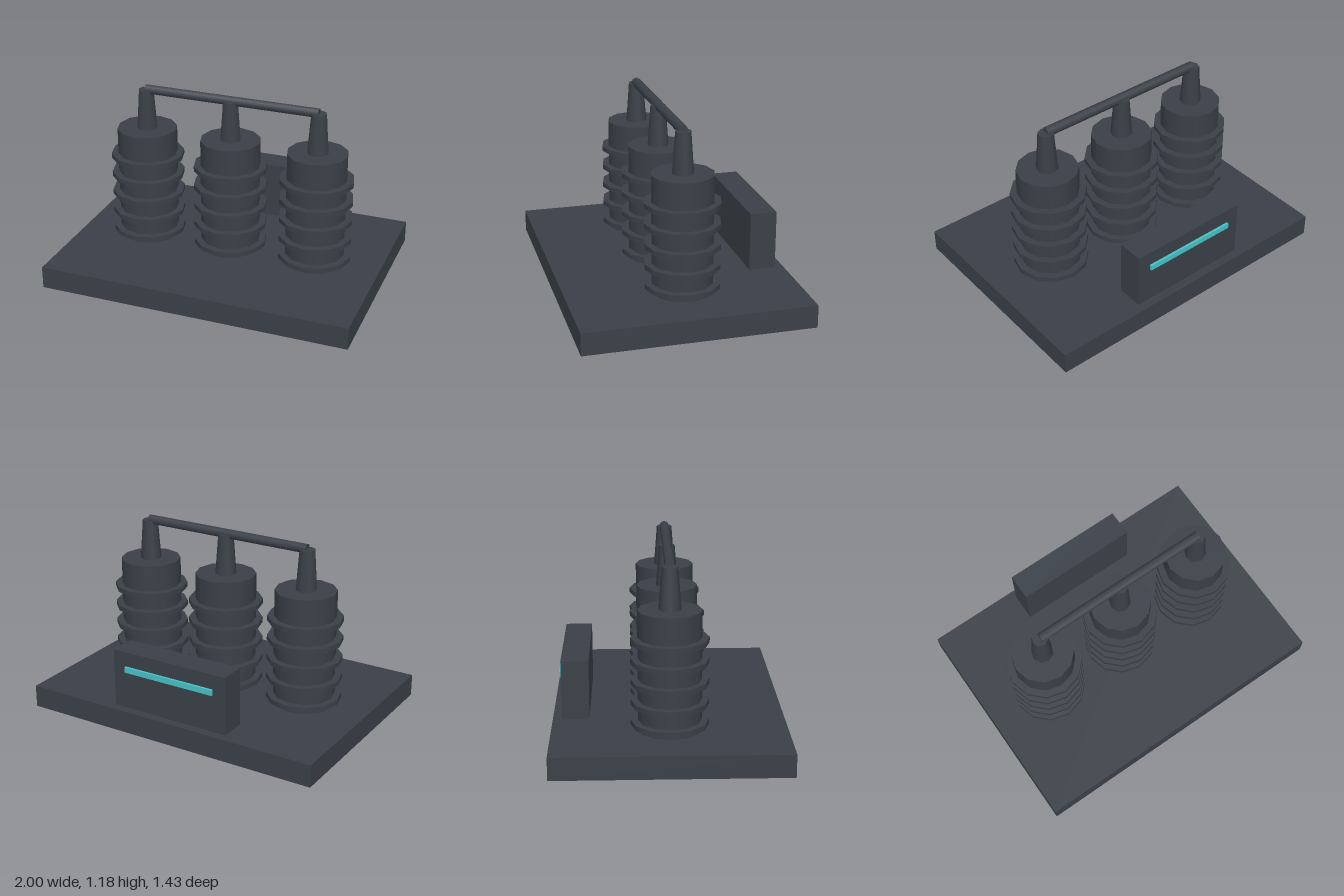
import * as THREE from 'three';

export function createModel() {
  const model = new THREE.Group();
  const darkMetal = new THREE.MeshStandardMaterial({ color: 0x3a4048 });
  darkMetal.name = 'darkMetal';
  const tealLight = new THREE.MeshStandardMaterial({ color: 0x46c2c6 });
  tealLight.name = 'tealLight';

  const add = (parent, name, geometry, material, x, y, z) => {
    const mesh = new THREE.Mesh(geometry, material);
    mesh.name = name;
    mesh.position.set(x, y, z);
    parent.add(mesh);
    return mesh;
  };

  // Base slab
  const baseTop = 0.143;
  add(model, 'base', new THREE.BoxGeometry(2, baseTop, 1.426), darkMetal, 0, baseTop / 2, 0);

  // Three ribbed insulator columns with tapered terminals
  const bodyGeometry = new THREE.CylinderGeometry(0.192, 0.192, 0.745, 12);
  const ringGeometry = new THREE.CylinderGeometry(0.235, 0.235, 0.032, 12);
  const terminalGeometry = new THREE.CylinderGeometry(0.049, 0.068, 0.257, 8);
  for (const x of [-0.571, 0, 0.571]) {
    const column = new THREE.Group();
    column.name = 'insulatorColumn';
    column.position.x = x;
    add(column, 'columnBody', bodyGeometry, darkMetal, 0, baseTop + 0.3725, 0);
    for (let i = 0; i < 5; i++) {
      add(column, 'columnRing', ringGeometry, darkMetal, 0, 0.189 + i * 0.1285, 0);
    }
    add(column, 'terminal', terminalGeometry, darkMetal, 0, 1.0165, 0);
    model.add(column);
  }

  // Bar joining the terminals
  const bar = add(model, 'connectingBar', new THREE.CylinderGeometry(0.031, 0.031, 1.142, 8), darkMetal, 0, 1.147, 0);
  bar.rotation.z = Math.PI / 2;

  // Rear control box with its light strip
  add(model, 'controlBox', new THREE.BoxGeometry(0.8, 0.374, 0.17), darkMetal, 0, baseTop + 0.187, -0.573);
  add(model, 'lightStrip', new THREE.BoxGeometry(0.628, 0.036, 0.028), tealLight, 0, 0.404, -0.659);

  return model;
}
